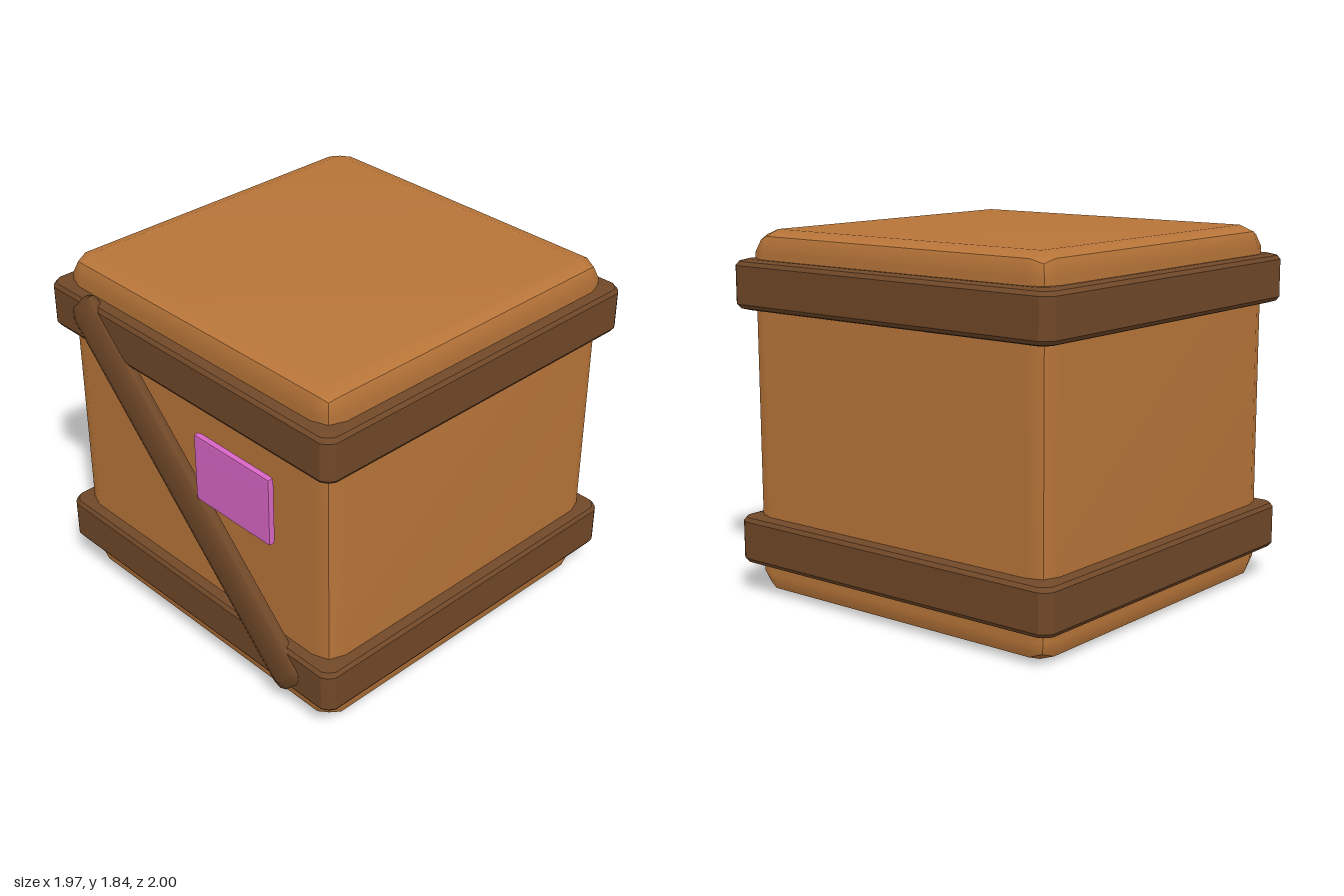
import * as THREE from 'three';
import { toCreasedNormals } from 'three/addons/utils/BufferGeometryUtils.js';

const Z_SHIFT = -0.01;

function material(name, color) {
  const m = new THREE.MeshStandardMaterial({ color });
  m.name = name;
  return m;
}

// Box with softly bulging faces: each face is flat in the middle and dips to
// its edges (by edge) and corners (by corner).
function pillowBox(half, inset, edge, corner) {
  const geo = new THREE.BoxGeometry(2, 2, 2, 3, 3, 3);
  const pos = geo.attributes.position;
  for (let i = 0; i < pos.count; i++) {
    const p = [pos.getX(i), pos.getY(i), pos.getZ(i)];
    const outer = p.filter((v) => Math.abs(v) > 0.9).length;
    const dip = [0, 0, edge, corner][outer];
    const q = p.map((v, k) => {
      const size = Math.abs(v) > 0.9 ? half[k] - dip : half[k] - Math.min(inset, half[k] * 0.6);
      return Math.sign(v) * size;
    });
    pos.setXYZ(i, ...q);
  }
  geo.computeVertexNormals();
  return geo;
}

// Square ring with clipped corners and a bevelled section, centred on y = 0.
function bandGeometry() {
  const outer = 0.985;
  const quarter = [[0.985, 0.935], [0.972, 0.957], [0.957, 0.972], [0.935, 0.985]];
  const outline = [];
  for (let k = 0; k < 4; k++) {
    for (const [x, z] of quarter) {
      const c = [1, 0, -1, 0][k];
      const s = [0, 1, 0, -1][k];
      outline.push([x * c - z * s, x * s + z * c]);
    }
  }
  const upper = [[0.985, 0.095], [0.972, 0.115], [0.94, 0.125], [0.86, 0.125]];
  const profile = [...upper.map(([r, y]) => [r, -y]).reverse(), ...upper];
  const positions = [];
  const index = [];
  const n = profile.length;
  outline.forEach(([x, z], i) => {
    for (const [r, y] of profile) positions.push((x * r) / outer, y, (z * r) / outer);
    const next = (i + 1) % outline.length;
    for (let j = 0; j < n - 1; j++) {
      const a = i * n + j;
      const b = next * n + j;
      index.push(a, a + 1, b + 1, a, b + 1, b);
    }
  });
  const geo = new THREE.BufferGeometry();
  geo.setAttribute('position', new THREE.Float32BufferAttribute(positions, 3));
  geo.setIndex(index);
  return toCreasedNormals(geo, 0.45);
}

export function createModel() {
  const wood = material('warm wood', 0xb87539);
  const darkWood = material('dark wood', 0x704828);
  const pink = material('pink label', 0xd966c6);

  const group = new THREE.Group();
  group.name = 'crate';
  const add = (name, geo, mat, x, y, z) => {
    const mesh = new THREE.Mesh(geo, mat);
    mesh.name = name;
    mesh.position.set(x, y, z);
    group.add(mesh);
    return mesh;
  };

  // Crate body
  add('crateBody', pillowBox([0.925, 0.92, 0.925], 0.11, 0.03, 0.05), wood, 0, 0.92, Z_SHIFT);

  // Bands wrapped around the body
  const band = bandGeometry();
  add('lowerBand', band, darkWood, 0, 0.28, Z_SHIFT);
  add('upperBand', band, darkWood, 0, 1.572, Z_SHIFT);

  // Diagonal plank across the front
  const brace = add('diagonalBrace', pillowBox([1.045, 0.118, 0.045], 0.06, 0.018, 0.028),
    darkWood, -0.005, 0.923, 0.955);
  brace.rotation.z = -Math.PI / 4;

  // Label plate on the front
  add('label', pillowBox([0.255, 0.18, 0.017], 0.02, 0.002, 0.004), pink, 0.367, 1.145, 0.974);

  return group;
}
